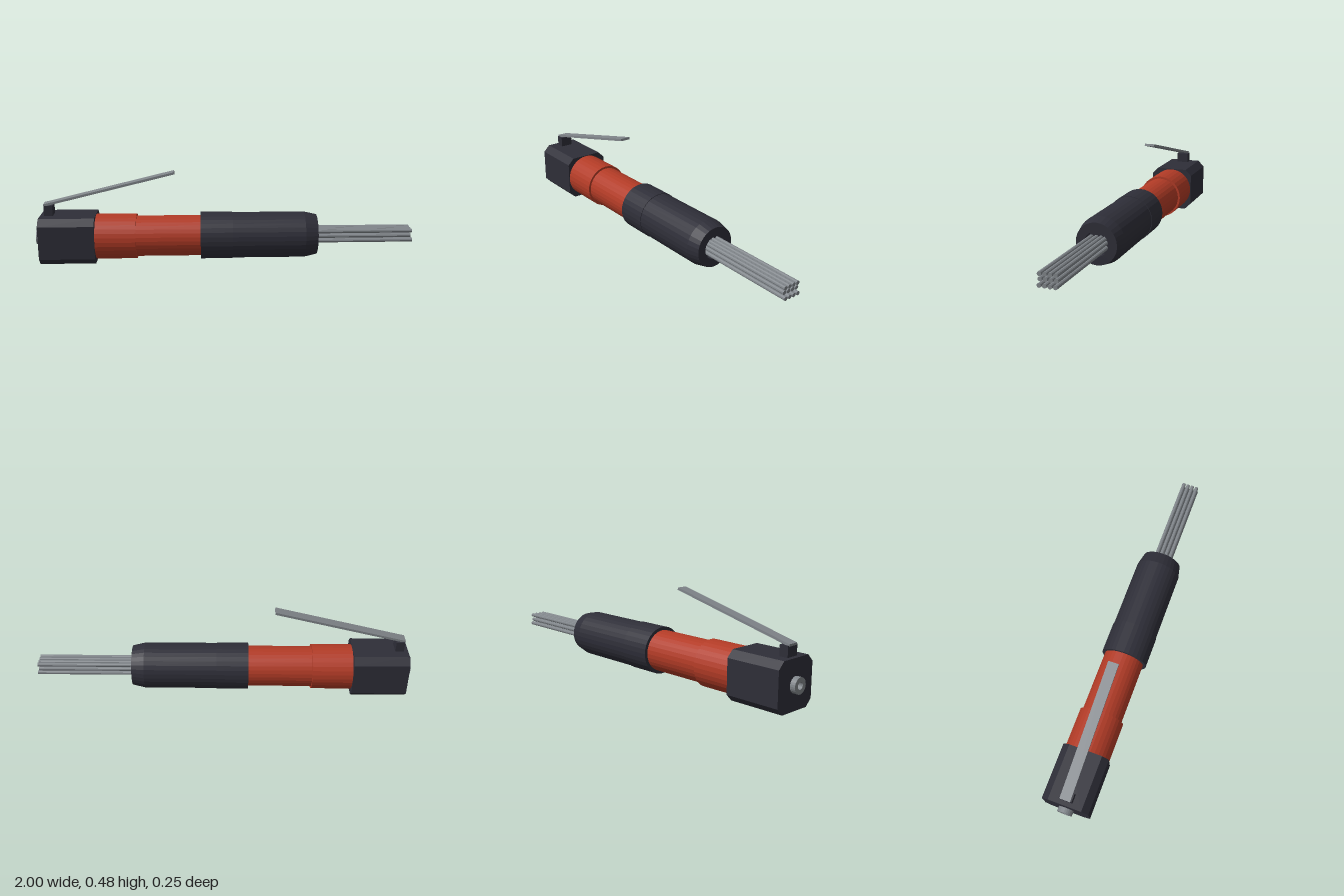
import * as THREE from 'three';

const AXIS_Y = 0.125;

export function createModel() {
  const model = new THREE.Group();
  model.name = 'needleScaler';

  const material = (name, color) => {
    const m = new THREE.MeshStandardMaterial({ color, flatShading: true });
    m.name = name;
    return m;
  };
  const dark = material('dark casing', 0x2e2e38);
  const red = material('red barrel', 0xb23b26);
  const steel = material('steel', 0x80858a);

  const add = (name, geometry, mat, x = 0, y = 0, z = 0) => {
    const mesh = new THREE.Mesh(geometry, mat);
    mesh.name = name;
    mesh.position.set(x, y, z);
    model.add(mesh);
    return mesh;
  };

  // Revolved part along x; the profile is a list of [x, radius]
  const turned = (name, profile, mat, sides = 32) => {
    const points = profile.map(([x, r]) => new THREE.Vector2(r, x));
    const geometry = new THREE.LatheGeometry(points, sides).rotateZ(-Math.PI / 2);
    return add(name, geometry, mat, 0, AXIS_Y, 0);
  };

  // Octagonal head block: square with chamfered corners, extruded along x
  const h = 0.123, c = 0.088;
  const outline = new THREE.Shape(
    [[h, -c], [h, c], [c, h], [-c, h], [-h, c], [-h, -c], [-c, -h], [c, -h]]
      .map(([a, b]) => new THREE.Vector2(a, b)));
  const headGeometry = new THREE.ExtrudeGeometry(outline, { depth: 0.29, bevelEnabled: false });
  headGeometry.rotateY(Math.PI / 2);
  add('head', headGeometry, dark, -0.973, AXIS_Y, 0);

  // Air inlet with a bored hole
  turned('airInlet', [[-0.975, 0], [-0.975, 0.018], [-1, 0.018], [-1, 0.04], [-0.97, 0.04]], steel, 24);

  // Red barrel in two diameters
  turned('rearBarrel', [[-0.69, 0], [-0.69, 0.12], [-0.47, 0.12], [-0.47, 0]], red);
  turned('frontBarrel', [[-0.475, 0], [-0.475, 0.108], [-0.12, 0.108], [-0.12, 0]], red);

  // Dark collar and tapered nose with a recessed mouth
  turned('collar', [[-0.132, 0], [-0.132, 0.125], [0.037, 0.125], [0.037, 0]], dark);
  turned('nose', [[0.03, 0], [0.03, 0.122], [0.42, 0.122], [0.487, 0.107],
    [0.487, 0.062], [0.455, 0.062], [0.455, 0]], dark);

  // Needle bundle: three rows of four, with slightly uneven tips
  for (let row = 0; row < 3; row++) {
    for (let col = 0; col < 4; col++) {
      const tip = [1, 0.99, 0.995][row];
      const length = tip - 0.45;
      const needle = new THREE.CylinderGeometry(0.0105, 0.0105, length, 10).rotateZ(-Math.PI / 2);
      add('needle', needle, steel, tip - length / 2,
        AXIS_Y + (row - 1) * 0.0255, (col - 1.5) * 0.0255);
    }
  }

  // Lever post and raised throttle lever
  add('leverPost', new THREE.BoxGeometry(0.045, 0.06, 0.068), dark, -0.928, 0.272, 0);
  const lever = add('throttleLever', new THREE.BoxGeometry(0.705, 0.012, 0.055), steel, -0.61, 0.387, 0);
  lever.rotation.z = Math.atan2(0.167, 0.684);

  return model;
}
